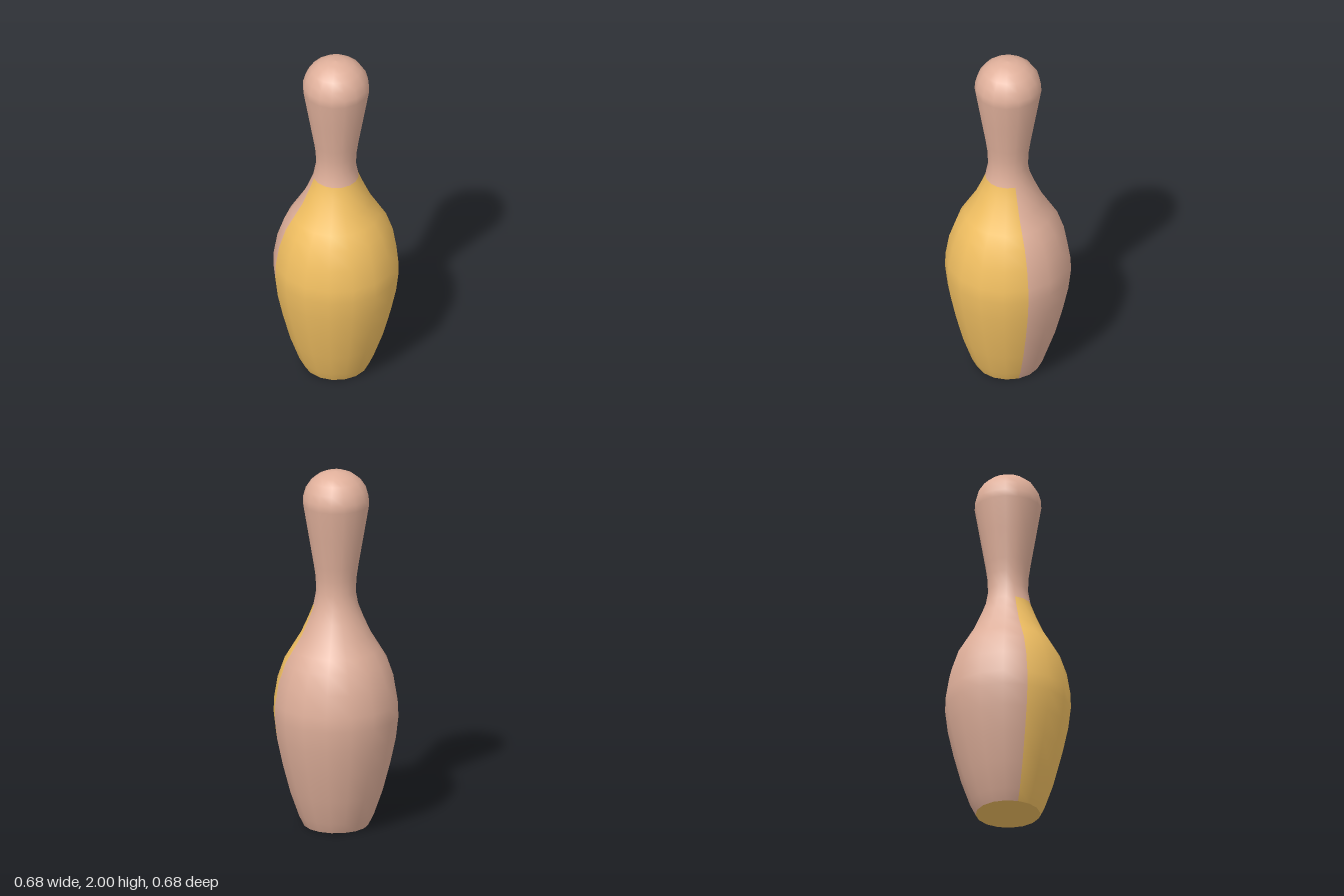
import * as THREE from 'three';

// Profile from the foot to the crown: [radius, height]
const PROFILE = [
  [0.175, 0], [0.205, 0.06], [0.254, 0.2], [0.296, 0.36], [0.326, 0.5], [0.34, 0.62], [0.338, 0.7],
  [0.318, 0.82], [0.28, 0.93], [0.238, 1.0], [0.19, 1.08], [0.15, 1.17], [0.123, 1.24],
  [0.108, 1.32], [0.112, 1.4], [0.122, 1.47], [0.151, 1.64], [0.18, 1.81], [0.179, 1.85],
  [0.165, 1.9], [0.135, 1.945], [0.095, 1.976], [0.05, 1.994], [0, 2],
].map(([r, y]) => new THREE.Vector2(r, y));
const SHOULDER = 12; // profile row where the coloured front ends

// Half turn of the full profile, keeping only rows from..to so normals match across seams
function halfShell(phiStart, from, to) {
  const geometry = new THREE.LatheGeometry(PROFILE, 8, phiStart, Math.PI);
  const rows = PROFILE.length - 1;
  const index = Array.from(geometry.index.array).filter((_, k) => {
    const row = Math.floor(k / 6) % rows;
    return row >= from && row < to;
  });
  geometry.setIndex(index);
  return geometry;
}

export function createModel() {
  const group = new THREE.Group();
  group.name = 'bowlingPin';
  const pink = new THREE.MeshStandardMaterial({ color: 0xe0b09b });
  const yellow = new THREE.MeshStandardMaterial({ color: 0xf2c062 });

  const add = (name, geometry, material) => {
    const mesh = new THREE.Mesh(geometry, material);
    mesh.name = name;
    group.add(mesh);
    return mesh;
  };

  const top = PROFILE.length - 1;
  add('frontBody', halfShell(-Math.PI / 2, 0, SHOULDER), yellow);
  add('frontNeckAndHead', halfShell(-Math.PI / 2, SHOULDER, top), pink);
  add('back', halfShell(Math.PI / 2, 0, top), pink);

  // Flat foot, facing down
  add('base', new THREE.CircleGeometry(PROFILE[0].x, 16), yellow).rotation.x = Math.PI / 2;

  return group;
}
